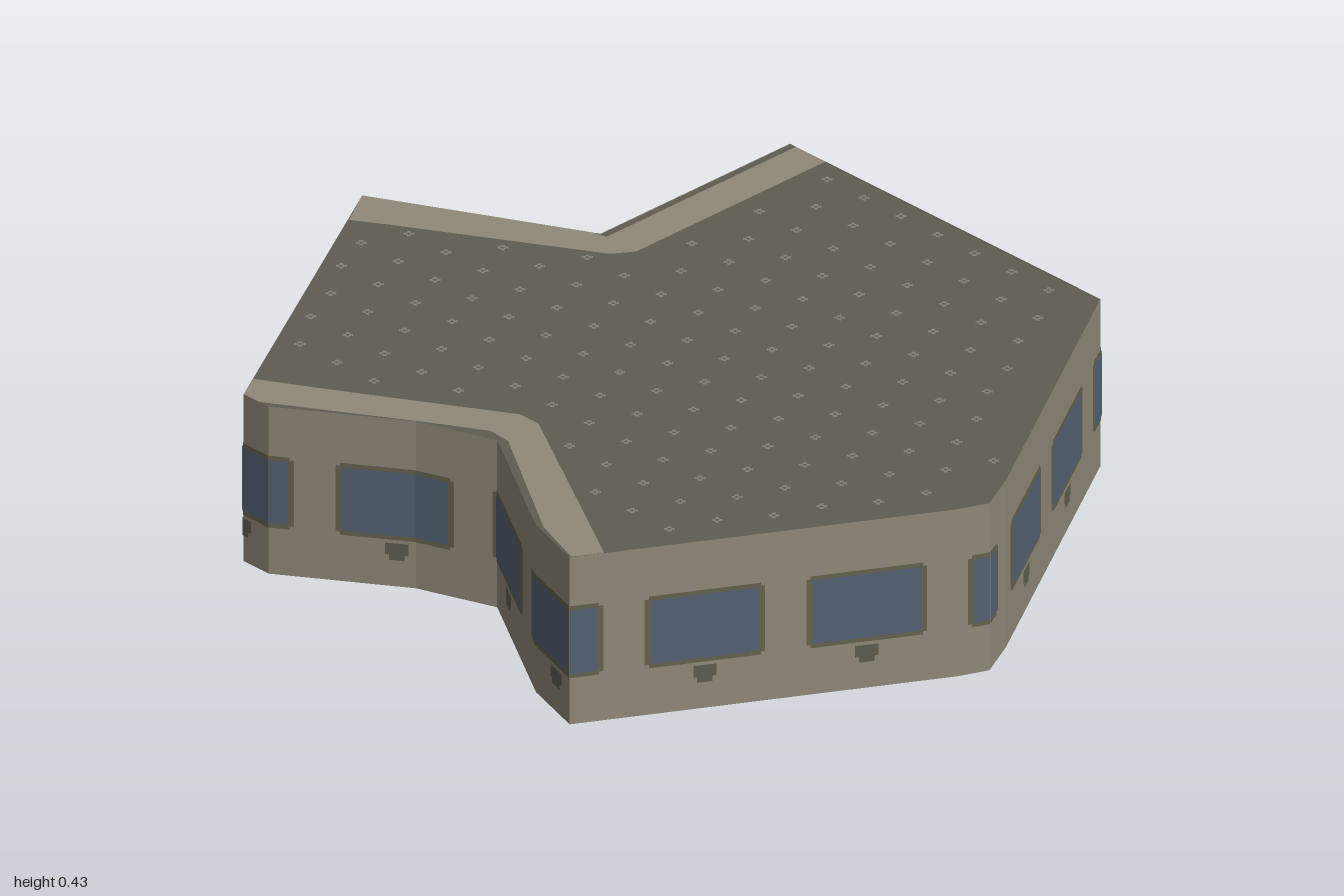
import * as THREE from 'three';
import { mergeGeometries } from 'three/addons/utils/BufferGeometryUtils.js';

const H = 0.43;

function material(name, color) {
  const m = new THREE.MeshStandardMaterial({ color });
  m.name = name;
  m.side = THREE.DoubleSide;
  return m;
}

// Footprint as two wall runs [x, z], both from one side tip to the other
const FRONT = [[-1, 0.01], [-0.53, 0.84], [-0.45, 0.84], [-0.17, 0.65], [0.02, 0.58],
  [0.36, 0.79], [0.52, 0.84], [0.97, 0.06], [1, -0.01]];
const BACK = [[1, -0.01], [0.95, -0.11], [0.5, -0.845], [-0.5, -0.845], [-0.5, -0.25], [-1, 0.01]];
const OUTLINE = [...FRONT, ...BACK.slice(1, -1)];

// Roof border bands along the two notches
const FRONT_BAND = [[-0.53, 0.84], [-0.48, 0.84], [-0.15, 0.635], [-0.02, 0.56], [0.04, 0.565],
  [0.38, 0.785], [0.52, 0.835], [0.56, 0.77], [0.03, 0.46], [-0.03, 0.46], [-0.4, 0.68], [-0.565, 0.775]];
const SIDE_BAND = [[-0.48, -0.845], [-0.48, -0.25], [-0.52, -0.24], [-1, 0.01], [-0.94, 0.11],
  [-0.86, 0.06], [-0.42, -0.2], [-0.385, -0.25], [-0.385, -0.845]];

// Vertical strip that follows a wall run between distances s0 and s1
function strip(run, s0, s1, y0, y1, offset) {
  const pos = [], idx = [];
  let start = 0;
  for (let i = 0; i + 1 < run.length; i++) {
    const [ax, az] = run[i], [bx, bz] = run[i + 1];
    const dx = bx - ax, dz = bz - az, len = Math.hypot(dx, dz);
    const a = Math.max(s0 - start, 0), b = Math.min(s1 - start, len);
    start += len;
    if (b - a < 0.001) continue;
    const nx = -dz / len * offset, nz = dx / len * offset;
    const n = pos.length / 3;
    for (const t of [a, b]) {
      for (const y of [y0, y1]) pos.push(ax + dx * t / len + nx, y, az + dz * t / len + nz);
    }
    idx.push(n, n + 2, n + 3, n, n + 3, n + 1);
  }
  const g = new THREE.BufferGeometry();
  g.setAttribute('position', new THREE.Float32BufferAttribute(pos, 3));
  g.setIndex(idx);
  g.computeVertexNormals();
  return g;
}

// Flat horizontal sheet from [x, z] points
function sheet(points, y) {
  const shape = new THREE.Shape(points.map(([x, z]) => new THREE.Vector2(x, -z)));
  return new THREE.ShapeGeometry(shape).rotateX(-Math.PI / 2).translate(0, y, 0);
}

function inside(points, x, z) {
  let hit = false;
  points.forEach(([ax, az], i) => {
    const [bx, bz] = points[(i + 1) % points.length];
    if ((az > z) !== (bz > z) && x < ax + (bx - ax) * (z - az) / (bz - az)) hit = !hit;
  });
  return hit;
}

export function createModel() {
  const group = new THREE.Group();
  const wallMat = material('warm grey wall', 0x918979);
  const roofMat = material('dark olive roof', 0x5f5d52);
  const glassMat = material('blue grey glass', 0x546274);
  const frameMat = material('olive frame', 0x67624f);
  const ventMat = material('pale vent', 0x858276);

  const add = (name, geometry, mat) => {
    const mesh = new THREE.Mesh(geometry, mat);
    mesh.name = name;
    group.add(mesh);
  };

  // Walls: long flat panels, open underneath
  add('frontWalls', strip(FRONT, 0, 9, 0, H, 0), wallMat);
  add('backWalls', strip(BACK, 0, 9, 0, H, 0), wallMat);

  // Windows wrap round the corners, seen from outside and inside
  const frames = [], glass = [], units = [];
  for (const [run, first] of [[FRONT, 0.062], [BACK, -0.229]]) {
    for (let k = 0; k < 9; k++) {
      const s = first + k * 0.3755, mid = s + 0.14;
      for (const side of [-1, 1]) {
        frames.push(strip(run, s, s + 0.28, 0.128, 0.297, side * 0.002));
        frames.push(strip(run, s + 0.01, s + 0.27, 0.12, 0.305, side * 0.002));
        glass.push(strip(run, s + 0.015, s + 0.265, 0.132, 0.295, side * 0.004));
        if (mid < 3.1) {
          units.push(strip(run, mid - 0.027, mid + 0.027, 0.082, 0.112, side * 0.003));
          units.push(strip(run, mid - 0.018, mid + 0.018, 0.068, 0.082, side * 0.003));
        }
      }
    }
  }
  const merged = (list) => mergeGeometries(list.filter((g) => g.attributes.position.count));
  add('windowFrames', merged(frames), frameMat);
  add('windowGlass', merged(glass), glassMat);
  add('wallUnits', merged(units), roofMat);

  // Flat roof with pale borders on both faces
  add('roof', sheet(OUTLINE, H - 0.002), roofMat);
  for (const y of [H, H - 0.004]) {
    add('frontRoofBorder', sheet(FRONT_BAND, y), wallMat);
    add('sideRoofBorder', sheet(SIDE_BAND, y), wallMat);
  }

  // Staggered rows of tiny roof vents
  const vents = [];
  for (let row = 0; row < 14; row++) {
    const z = -0.79 + row * 0.106;
    for (let col = -7; col < 12; col++) {
      const x = -0.25 + col * 0.119 + (row % 2 ? 0 : 0.045);
      const clear = [[0, 0], [0.05, 0], [-0.05, 0], [0, 0.04]].every(([u, v]) =>
        inside(OUTLINE, x + u, z + v) && !inside(FRONT_BAND, x + u, z + v) && !inside(SIDE_BAND, x + u, z + v));
      if (!clear) continue;
      for (const d of [-0.006, 0.006]) {
        vents.push(new THREE.PlaneGeometry(0.022, 0.004).rotateX(-Math.PI / 2).translate(x, H, z + d));
        vents.push(new THREE.PlaneGeometry(0.004, 0.022).rotateX(-Math.PI / 2).translate(x + d, H + 0.0005, z));
      }
    }
  }
  add('roofVents', mergeGeometries(vents), ventMat);
  return group;
}
